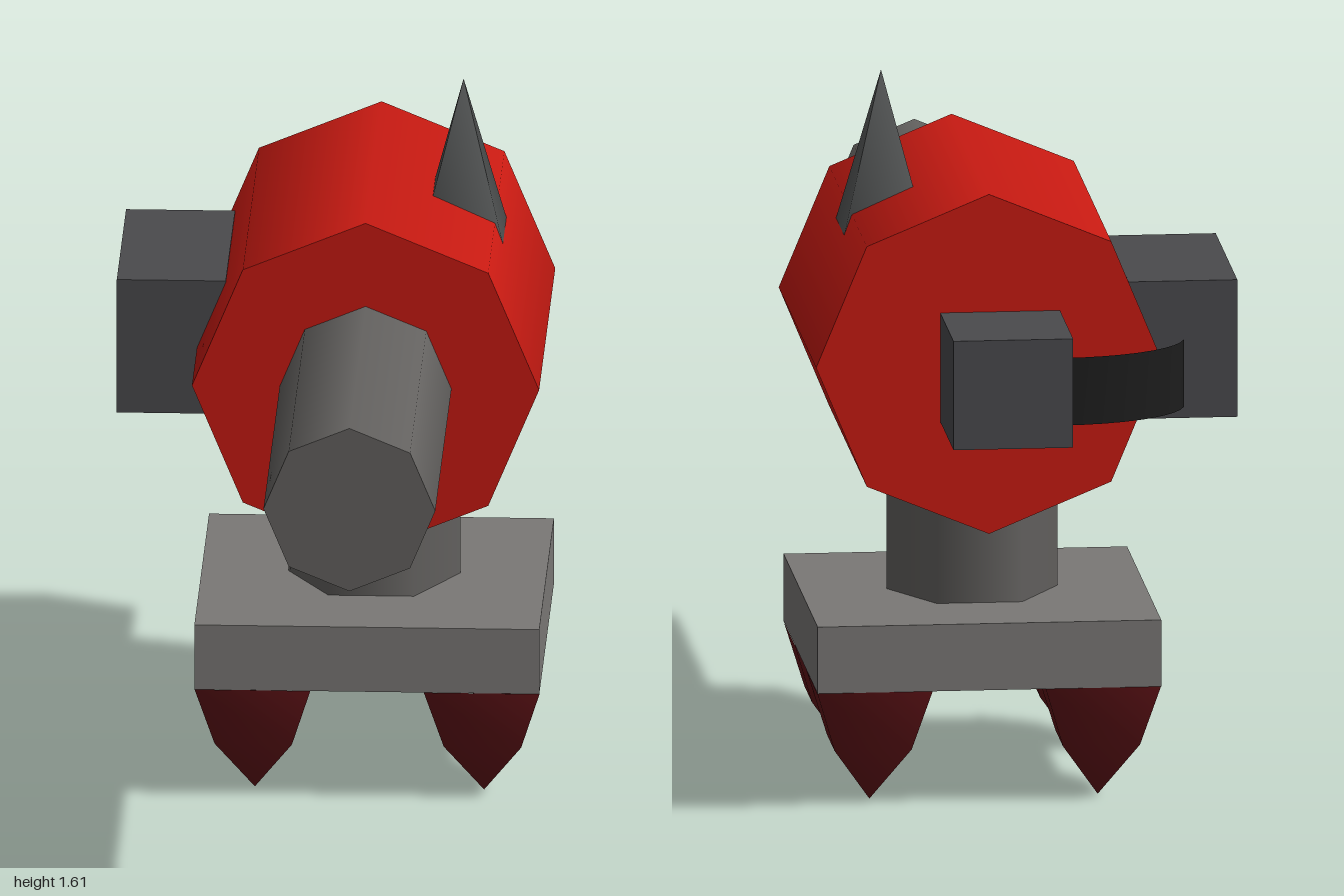
import * as THREE from 'three';

const mat = (color, side = THREE.FrontSide) =>
  new THREE.MeshStandardMaterial({ color, side });

export function createModel() {
  const model = new THREE.Group();
  model.name = 'turret';

  const red = mat(0xc81a12);
  const darkRed = mat(0x641418);
  const steel = mat(0x646260);
  const stone = mat(0x7a7876);
  const gunmetal = mat(0x4a4a4d);
  const spikeGrey = mat(0x4e5050);
  const black = mat(0x1c1c1c, THREE.DoubleSide);

  const cx = 0.09;   // vertical axis of the turret
  const cz = -0.317;
  const axisY = 1.02; // height of the gun axis

  const add = (name, geometry, material, x, y, z) => {
    const mesh = new THREE.Mesh(geometry, material);
    mesh.name = name;
    mesh.position.set(x, y, z);
    model.add(mesh);
    return mesh;
  };

  // Box given by its minimum and maximum corners
  const addBox = (name, material, a, b) =>
    add(name, new THREE.BoxGeometry(b[0] - a[0], b[1] - a[1], b[2] - a[2]), material,
      (a[0] + b[0]) / 2, (a[1] + b[1]) / 2, (a[2] + b[2]) / 2);

  // Eight-sided cylinder along z
  const addDrum = (name, material, r, z0, z1) =>
    add(name, new THREE.CylinderGeometry(r, r, z1 - z0, 8).rotateX(Math.PI / 2),
      material, cx, axisY, (z0 + z1) / 2);

  // Gun body and barrel
  addDrum('body', red, 0.39, -0.7, 0.15);
  addDrum('barrel', steel, 0.193, 0.1, 1);

  // Breech block and ammunition box
  addBox('breech', gunmetal, [-0.07, 0.89, -1], [0.2, 1.14, -0.7]);
  addBox('ammunitionBox', gunmetal, [-0.48, 0.865, -0.6], [-0.235, 1.18, -0.11]);

  // Feed belt: thin upright strip bending from the breech to the box
  const belt = new THREE.PlaneGeometry(1, 0.155, 10, 1);
  const p = belt.attributes.position;
  for (let i = 0; i < p.count; i++) {
    const t = (p.getX(i) + 0.5) * Math.PI / 2;
    p.setX(i, -0.29 * Math.sin(t));
    p.setZ(i, -0.2 * Math.cos(t));
  }
  belt.computeVertexNormals();
  add('feedBelt', belt, black, -0.07, 0.975, -0.6);

  // Square spike on the shoulder
  add('spike', new THREE.ConeGeometry(0.14, 0.385, 4).rotateY(Math.PI / 4),
    spikeGrey, 0.292, 1.4175, -0.28);

  // Six-sided neck
  add('neck', new THREE.CylinderGeometry(0.193, 0.193, 0.44, 6).rotateY(Math.PI / 2),
    steel, cx, 0.63, cz);

  // Base plate
  addBox('basePlate', stone, [-0.298, 0.272, -0.705], [0.477, 0.425, 0.07]);

  // Four pointed feet with square cross-section
  const d = Math.SQRT2;
  const profile = [[0, 0], [0.087 * d, 0.13], [0.13 * d, 0.272]]
    .map(([r, y]) => new THREE.Vector2(r, y));
  const foot = new THREE.LatheGeometry(profile, 4, Math.PI / 4);
  for (const sx of [1, -1]) {
    for (const sz of [1, -1]) {
      add((sz > 0 ? 'front' : 'back') + (sx > 0 ? 'Left' : 'Right') + 'Foot',
        foot, darkRed, cx + sx * 0.2575, 0, cz + sz * 0.2575);
    }
  }

  return model;
}
